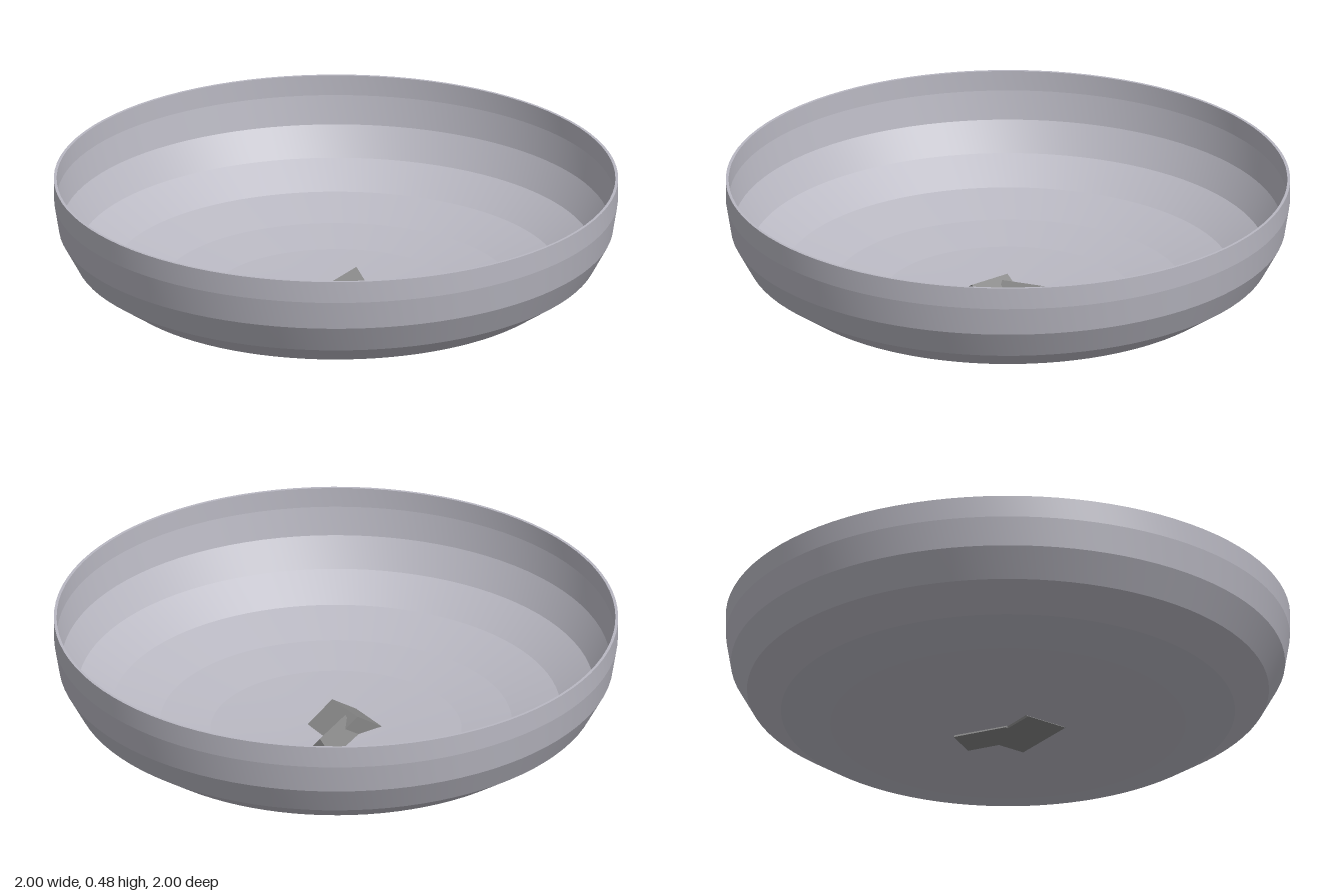
import * as THREE from 'three';
import { toCreasedNormals } from 'three/addons/utils/BufferGeometryUtils.js';

const bowlGrey = new THREE.MeshStandardMaterial({ color: 0xb9b8c2 });
bowlGrey.name = 'pale grey';
const chunkGrey = new THREE.MeshStandardMaterial({ color: 0x868686 });
chunkGrey.name = 'mid grey';

// Outer wall of the bowl, [radius, height], from the centre up to the rim
const outer = [
  [0, 0.007], [0.2, 0.011], [0.45, 0.028], [0.63, 0.057], [0.805, 0.108],
  [0.925, 0.19], [0.982, 0.295], [0.999, 0.4], [1, 0.48],
];

// Thin-walled bowl: banded profile, smooth around its axis
function bowl() {
  const inner = outer.map(([r, y], i) =>
    [r * 0.99, i === outer.length - 1 ? y : y + 0.006]).reverse();
  const profile = [...outer, ...inner].map(([r, y]) => new THREE.Vector2(r, y));
  const mesh = new THREE.Mesh(
    toCreasedNormals(new THREE.LatheGeometry(profile, 96), 0.08), bowlGrey);
  mesh.name = 'bowl';
  return mesh;
}

// Triangular wedge with its ridge running from (x0, z0) to (x1, z1)
function wedge(name, x0, z0, x1, z1, halfWidth, height) {
  const shape = new THREE.Shape([
    new THREE.Vector2(-halfWidth, 0),
    new THREE.Vector2(halfWidth, 0),
    new THREE.Vector2(0, height),
  ]);
  const depth = Math.hypot(x1 - x0, z1 - z0);
  const geometry = new THREE.ExtrudeGeometry(shape, { depth, bevelEnabled: false });
  const mesh = new THREE.Mesh(geometry, chunkGrey);
  mesh.position.set(x0, 0, z0);
  mesh.rotation.y = Math.atan2(x1 - x0, z1 - z0);
  mesh.name = name;
  return mesh;
}

export function createModel() {
  const group = new THREE.Group();
  group.name = 'bowlWithWedges';
  group.add(
    bowl(),
    // Two wedges lying across each other in the middle, poking through the floor
    wedge('wideWedge', -0.075, -0.016, -0.005, 0.13, 0.128, 0.085),
    wedge('narrowWedge', 0.08, -0.155, -0.035, 0.013, 0.063, 0.08),
  );
  return group;
}
